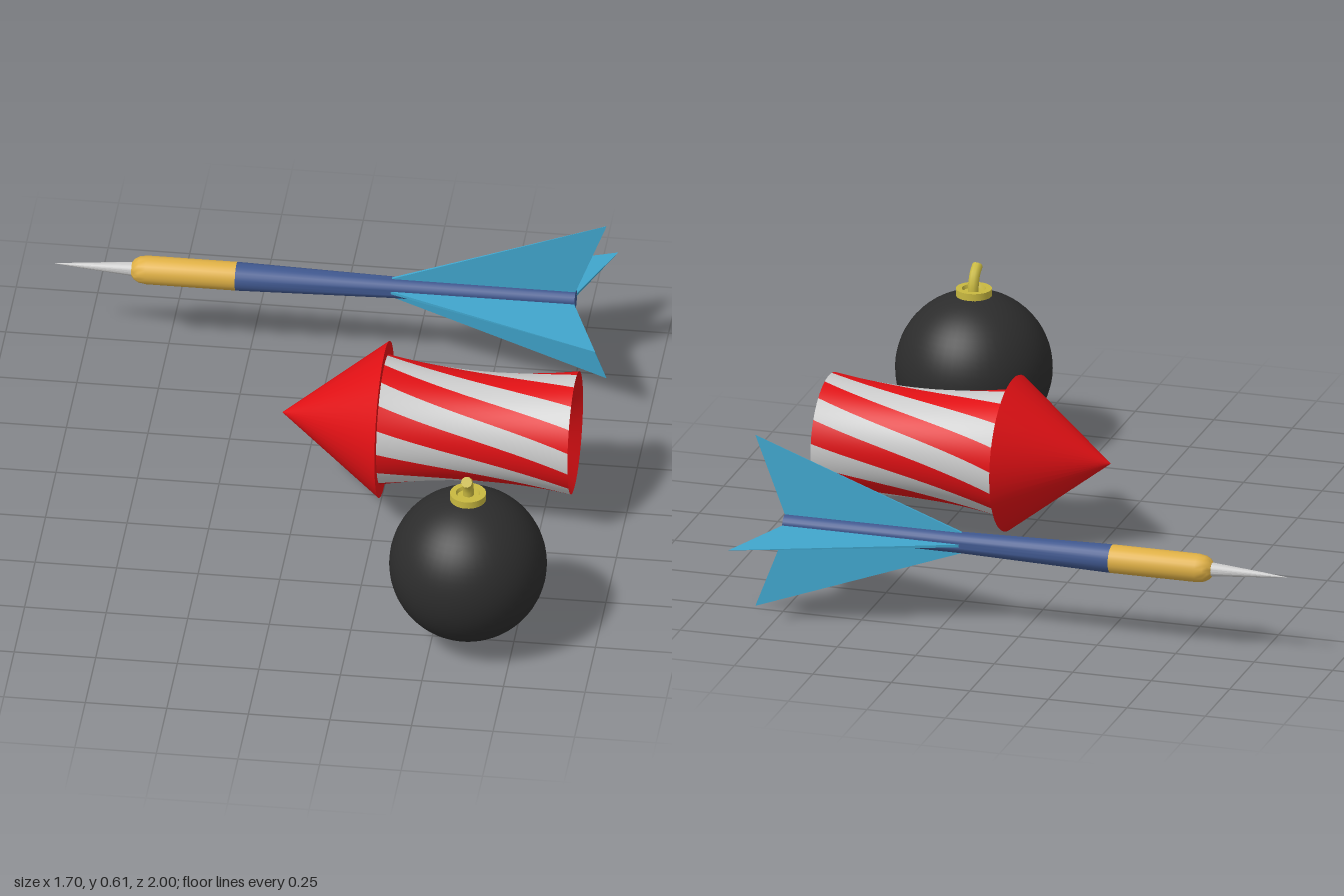
import * as THREE from 'three';
import { toCreasedNormals } from 'three/addons/utils/BufferGeometryUtils.js';

const paint = (color) => new THREE.MeshStandardMaterial({ color });
const red = paint(0xe01014), grey = paint(0xcccccc), gold = paint(0xdfb045);
const blue = paint(0x40588f), cyan = paint(0x40a5cc), black = paint(0x2c2c2c), brass = paint(0xc8b840);

function add(parent, name, geometry, material) {
  const mesh = new THREE.Mesh(geometry, material);
  mesh.name = name;
  parent.add(mesh);
  return mesh;
}

// Turned solid from [radius, height] pairs, sharp where the profile bends strongly
function turned(profile, segments = 40) {
  const points = profile.map(([r, h]) => new THREE.Vector2(r, h));
  return toCreasedNormals(new THREE.LatheGeometry(points, segments), 0.6);
}

// The same, lying along x
const turnedX = (profile, segments) => turned(profile, segments).rotateZ(-Math.PI / 2);

function createDart() {
  const dart = new THREE.Group();
  dart.name = 'dart';
  add(dart, 'needle', turnedX([[0, -0.85], [0.008, -0.77], [0.022, -0.6]], 20), grey);
  add(dart, 'grip', turnedX([[0, -0.61], [0.022, -0.61], [0.032, -0.602], [0.04, -0.588],
    [0.044, -0.565], [0.044, -0.29], [0, -0.29]], 24), gold);
  add(dart, 'shaft', turnedX([[0, -0.29], [0.044, -0.29], [0.033, 0.19], [0.032, 0.75], [0, 0.75]], 24), blue);

  // Four swept fins, thinning towards their tips
  const outline = new THREE.Shape([[0.16, 0.02], [0.19, 0.034], [0.845, 0.277], [0.75, 0.032], [0.75, 0.02]]
    .map(([x, y]) => new THREE.Vector2(x, y)));
  const fin = new THREE.ExtrudeGeometry(outline, { depth: 0.01, bevelEnabled: false }).translate(0, 0, -0.005);
  const p = fin.attributes.position;
  for (let i = 0; i < p.count; i++) p.setZ(i, p.getZ(i) * (1 - p.getY(i) / 0.3));
  fin.computeVertexNormals();
  for (let k = 0; k < 4; k++) add(dart, 'fin', fin, cyan).rotation.x = k * Math.PI / 2;
  dart.position.set(0, 0.277, -0.728);
  return dart;
}

// Waisted tube radius for t from 0 (nose end) to 1 (tail end)
function bodyRadius(t) {
  const s = (t - 0.55) / 0.5;
  return 0.167 + 0.026 * s * s;
}

// Every second spiral band of the rocket body
function spiralBands(first, count = 16, twist = 0.95) {
  const position = [], normal = [], index = [];
  const rows = 16, cols = 4, step = Math.PI * 2 / count;
  for (let band = first; band < count; band += 2) {
    const base = position.length / 3;
    for (let i = 0; i <= rows; i++) {
      const t = i / rows, r = bodyRadius(t);
      const slope = (bodyRadius(t + 0.01) - bodyRadius(t - 0.01)) / (0.02 * 0.585);
      for (let j = 0; j <= cols; j++) {
        const a = (band + j / cols) * step + twist * t;
        const n = new THREE.Vector3(-slope, Math.cos(a), Math.sin(a)).normalize();
        position.push(0.26 + 0.585 * t, r * Math.cos(a), r * Math.sin(a));
        normal.push(n.x, n.y, n.z);
        if (i < rows && j < cols) {
          const v = base + i * (cols + 1) + j, w = v + cols + 1;
          index.push(v, v + 1, w, v + 1, w + 1, w);
        }
      }
    }
  }
  const geometry = new THREE.BufferGeometry();
  geometry.setAttribute('position', new THREE.Float32BufferAttribute(position, 3));
  geometry.setAttribute('normal', new THREE.Float32BufferAttribute(normal, 3));
  geometry.setIndex(index);
  return geometry;
}

function createRocket() {
  const rocket = new THREE.Group();
  rocket.name = 'rocket';
  add(rocket, 'noseCone', turnedX([[0, -0.053], [0.24, 0.26], [0.18, 0.255], [0, 0.255]], 48), red);
  add(rocket, 'redStripes', spiralBands(0), red);
  add(rocket, 'greyStripes', spiralBands(1), grey);
  // Funnel-shaped recess in the tail
  add(rocket, 'nozzle', turnedX([[bodyRadius(1), 0.845], [0.118, 0.785], [0, 0.785]], 48), red);
  rocket.position.set(0, 0.294, 0.025);
  return rocket;
}

function createBomb() {
  const bomb = new THREE.Group();
  bomb.name = 'bomb';
  add(bomb, 'shell', new THREE.SphereGeometry(0.24, 48, 32), black);
  // Collar with a shallow dish in its top
  add(bomb, 'collar', turned([[0.055, 0.22], [0.055, 0.256], [0.037, 0.256], [0.033, 0.245], [0, 0.245]], 32), brass);
  // Fuse curling forwards
  const path = new THREE.CatmullRomCurve3([[0.235, -0.008], [0.27, -0.004], [0.298, 0.01], [0.317, 0.036]]
    .map(([y, z]) => new THREE.Vector3(0, y, z)));
  add(bomb, 'fuse', new THREE.TubeGeometry(path, 16, 0.017, 10), brass);
  const end = add(bomb, 'fuseEnd', new THREE.CircleGeometry(0.017, 10), brass);
  end.position.copy(path.getPoint(1));
  end.lookAt(end.position.clone().add(path.getTangent(1)));
  bomb.position.set(0.61, 0.278, 0.755);
  return bomb;
}

export function createModel() {
  const model = new THREE.Group();
  model.name = 'dartRocketAndBomb';
  model.add(createDart(), createRocket(), createBomb());
  return model;
}
